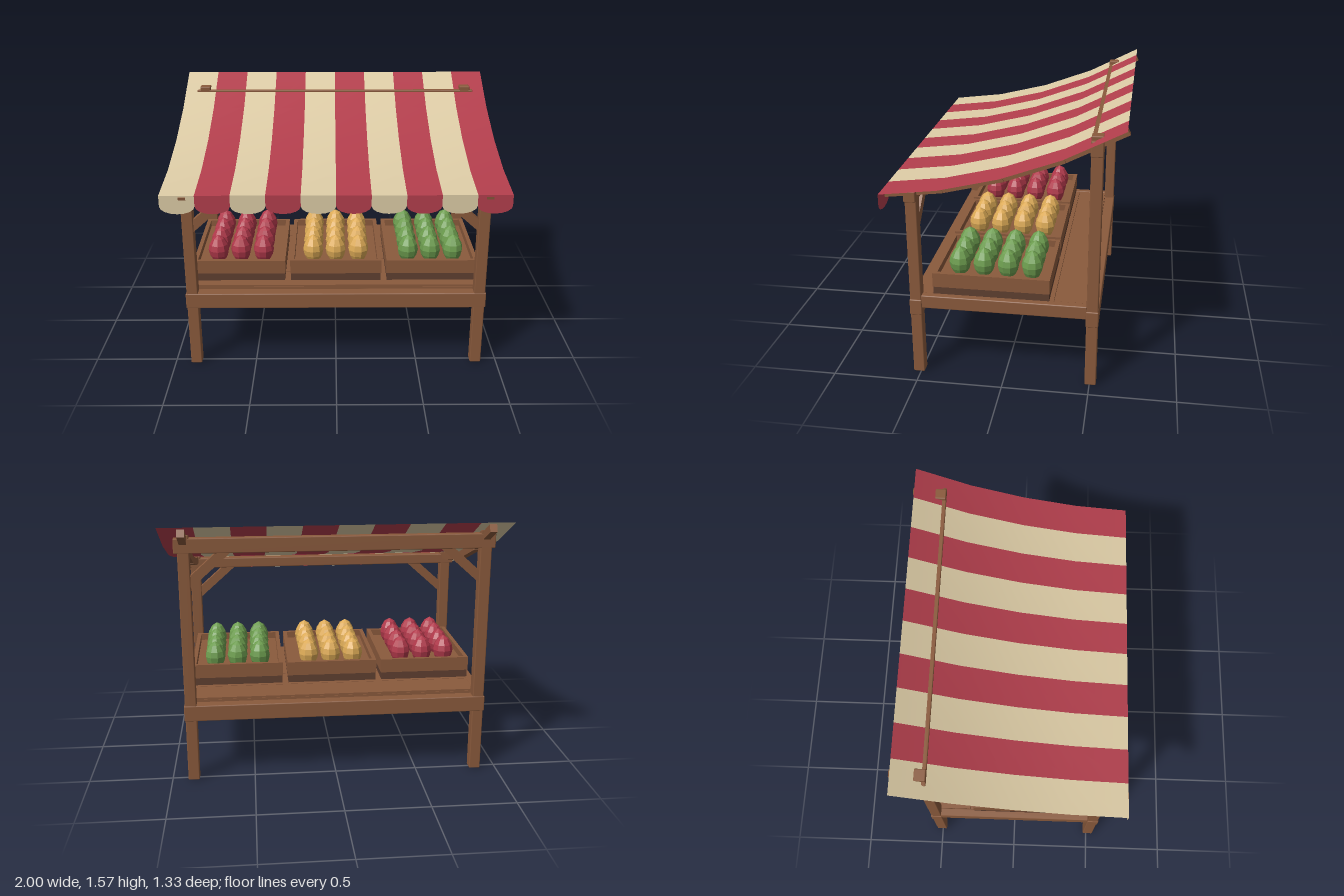
import * as THREE from 'three';
import { RoundedBoxGeometry } from 'three/addons/geometries/RoundedBoxGeometry.js';

const mat = (name, color, opts = {}) => {
  const m = new THREE.MeshStandardMaterial({ color, ...opts });
  m.name = name;
  return m;
};

export function createModel() {
  const wood = mat('wood', 0x8a5a3c);
  const darkWood = mat('dark wood', 0x5f3f30);
  const cream = mat('cream cloth', 0xdccba5, { side: THREE.DoubleSide });
  const red = mat('red cloth', 0xb23e4c, { side: THREE.DoubleSide });
  const redFruit = mat('red fruit', 0xb0384a, { flatShading: true });
  const yellowFruit = mat('yellow fruit', 0xdba955, { flatShading: true });
  const greenFruit = mat('green fruit', 0x6c9c4e, { flatShading: true });

  const model = new THREE.Group();
  model.name = 'marketStall';

  const add = (name, geometry, material, x = 0, y = 0, z = 0, parent = model) => {
    const mesh = new THREE.Mesh(geometry, material);
    mesh.name = name;
    mesh.position.set(x, y, z);
    parent.add(mesh);
    return mesh;
  };
  // Box given by its limits on each axis
  const block = (name, [x0, x1], [y0, y1], [z0, z1], material = wood, parent = model) =>
    add(name, new THREE.BoxGeometry(x1 - x0, y1 - y0, z1 - z0), material,
      (x0 + x1) / 2, (y0 + y1) / 2, (z0 + z1) / 2, parent);
  // Lightly bevelled timber
  const timber = (name, w, h, d, x, y, z) =>
    add(name, new RoundedBoxGeometry(w, h, d, 1, 0.006), wood, x, y, z);

  // Frame: posts, cross beams, aprons and diagonal braces, front and back
  const sides = [
    { end: 'front', z: 0.511, top: 1.17, beam: [1.09, 1.155] },
    { end: 'back', z: -0.505, top: 1.51, beam: [1.40, 1.487] },
  ];
  for (const { end, z, top, beam } of sides) {
    const [b0, b1] = beam;
    timber(end + 'Beam', 1.85, b1 - b0, 0.068, 0, (b0 + b1) / 2, z);
    timber(end + 'Apron', 1.82, 0.097, 0.072, 0, 0.433, z);
    for (const s of [-1, 1]) {
      timber(end + 'Post', 0.068, top, 0.066, s * 0.87, top / 2, z);
      const a = new THREE.Vector3(s * 0.855, b0 - 0.185, z);
      const b = new THREE.Vector3(s * 0.625, b0 + 0.02, z);
      const brace = add(end + 'Brace', new THREE.BoxGeometry(a.distanceTo(b), 0.055, 0.045), wood);
      brace.position.copy(a).lerp(b, 0.5);
      brace.rotation.z = Math.atan2(b.y - a.y, b.x - a.x);
    }
  }

  // Table: a slab, end rails and five planks
  block('tableSlab', [-0.86, 0.86], [0.43, 0.495], [-0.475, 0.478]);
  for (const s of [-1, 1]) {
    timber('tableEndRail', 0.05, 0.08, 0.953, s * 0.88, 0.47, 0.0015);
  }
  for (let i = 0; i < 5; i++) {
    const z0 = -0.475 + i * 0.1906;
    block('tablePlank', [-0.855, 0.855], [0.49, 0.507], [z0 + 0.002, z0 + 0.1886]);
  }

  // Crates, each with a dark lower band, lighter upper boards and rows of fruit
  const fruitGeometry = new THREE.LatheGeometry([
    [0, 0.575], [0.035, 0.585], [0.056, 0.625], [0.064, 0.662], [0.057, 0.697], [0.035, 0.735], [0, 0.757],
  ].map(([r, y]) => new THREE.Vector2(r, y)), 9);
  [redFruit, yellowFruit, greenFruit].forEach((fruit, i) => {
    const crate = new THREE.Group();
    crate.name = 'crate';
    crate.position.x = (i - 1) * 0.59;
    model.add(crate);
    const w = 0.28, z0 = -0.26, z1 = 0.415, t = 0.025;
    block('crateBase', [-w + 0.004, w - 0.004], [0.508, 0.556], [z0 + 0.003, z1 - 0.003], darkWood, crate);
    block('crateFloor', [-w + t, w - t], [0.555, 0.6], [z0 + t, z1 - t], wood, crate);
    for (const s of [-1, 1]) {
      const x = s * (w - t / 2);
      block('crateSideBoard', [x - t / 2, x + t / 2], [0.555, 0.641], [z0, z1], wood, crate);
      const z = s > 0 ? z1 - t : z0;
      block('crateEndBoard', [-w + t, w - t], [0.555, 0.641], [z, z + t], wood, crate);
    }
    for (let c = 0; c < 3; c++) {
      for (let r = 0; r < 4; r++) {
        const f = add('fruit', fruitGeometry, fruit, (c - 1) * 0.14, 0, 0.28 - r * 0.141, crate);
        f.rotation.y = c * 0.5 + r * 0.8;
      }
    }
  });

  // Sagging canopy line as [z, y], front to back
  const line = [[0.66, 1.16], [0.335, 1.2], [0, 1.282], [-0.33, 1.403], [-0.658, 1.57]];

  // Rafters follow the canopy just beneath it
  for (const s of [-1, 1]) {
    for (let i = 0; i < 4; i++) {
      const [za, ya] = line[i], [zb, yb] = line[i + 1];
      const len = Math.hypot(zb - za, yb - ya);
      const slope = Math.atan2(yb - ya, za - zb);
      const rafter = add('rafter', new THREE.BoxGeometry(0.042, 0.046, len), wood, s * 0.87,
        (ya + yb) / 2 - 0.034 * Math.cos(slope), (za + zb) / 2 + 0.034 * Math.sin(slope) * -0.2);
      rafter.rotation.x = slope;
    }
  }

  // Canopy stripes, each ending in a scalloped flap
  for (let i = 0; i < 10; i++) {
    const x0 = -1 + i * 0.2;
    const cloth = i % 2 ? red : cream;
    const stripe = new THREE.PlaneGeometry(0.2, 1, 1, 4);
    const p = stripe.attributes.position;
    for (let k = 0; k < p.count; k++) {
      const [z, y] = line[4 - Math.floor(k / 2)];
      p.setXYZ(k, x0 + (k % 2) * 0.2, y, z);
    }
    stripe.computeVertexNormals();
    add('canopyStripe', stripe, cloth);

    const flap = new THREE.Shape();
    flap.moveTo(0.2, 1.16);
    flap.lineTo(0, 1.16);
    for (let k = 0; k <= 8; k++) {
      const a = Math.PI * k / 8;
      flap.lineTo(0.1 - 0.1 * Math.cos(a), 1.095 - 0.047 * Math.sin(a));
    }
    add('canopyFlap', new THREE.ShapeGeometry(flap), cloth, x0, 0, 0.66);
  }
  return model;
}
